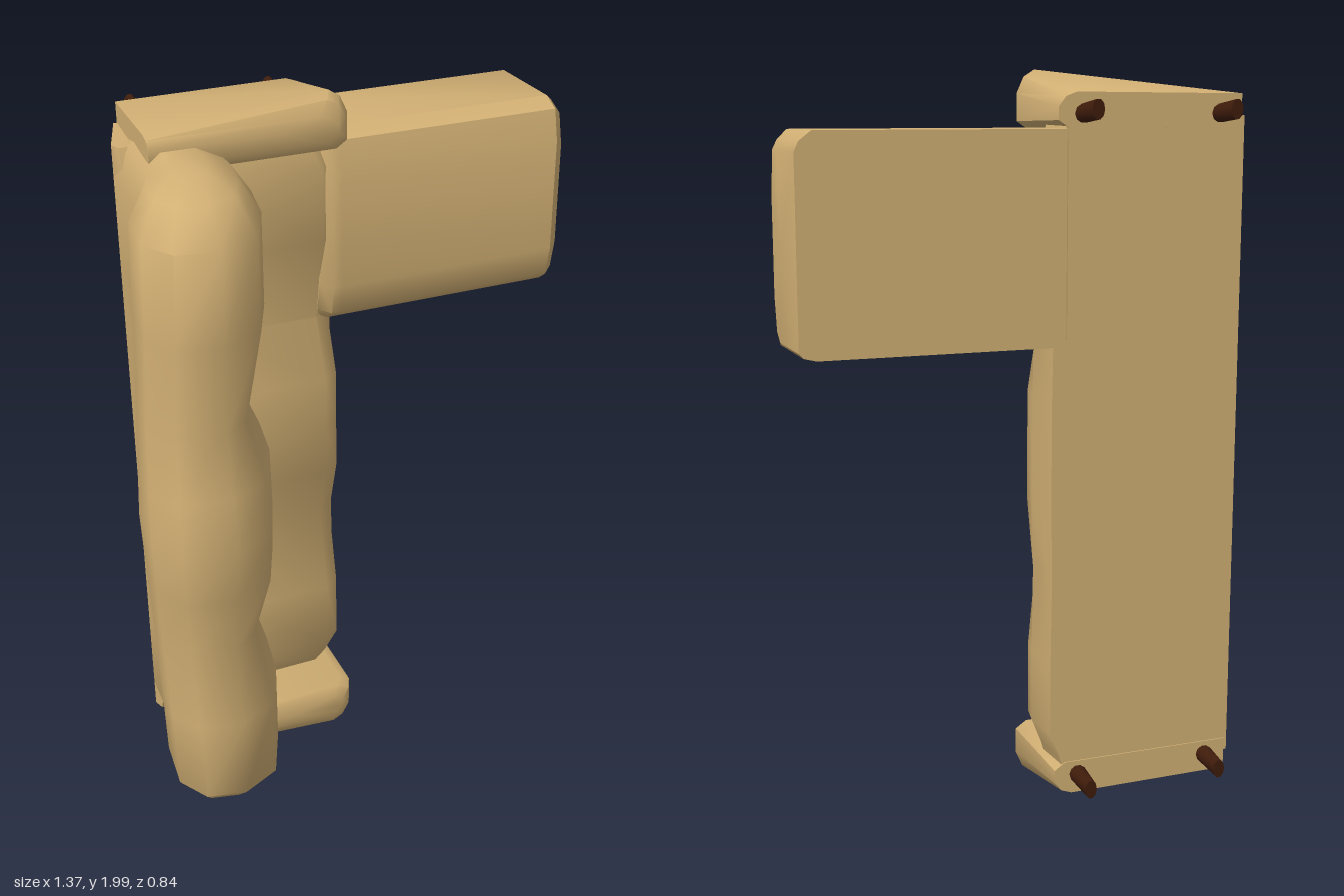
import * as THREE from 'three';
import { toCreasedNormals } from 'three/addons/utils/BufferGeometryUtils.js';

// Skin a list of equal-length rings of [x, y, z], close both ends, face outwards
function loft(rings, crease = 0.8) {
  const n = rings[0].length, pos = rings.flat(2), idx = [];
  for (let r = 0; r < rings.length - 1; r++)
    for (let i = 0; i < n; i++) {
      const a = r * n + i, b = r * n + (i + 1) % n;
      idx.push(a, b, b + n, a, b + n, a + n);
    }
  [0, rings.length - 1].forEach((r, end) => {
    const c = pos.length / 3;
    for (let k = 0; k < 3; k++) pos.push(rings[r].reduce((s, p) => s + p[k], 0) / n);
    for (let i = 0; i < n; i++) {
      const a = r * n + i, b = r * n + (i + 1) % n;
      idx.push(...(end ? [c, a, b] : [c, b, a]));
    }
  });
  const P = (i) => new THREE.Vector3().fromArray(pos, i * 3);
  let volume = 0;
  for (let i = 0; i < idx.length; i += 3)
    volume += P(idx[i]).dot(P(idx[i + 1]).cross(P(idx[i + 2])));
  if (volume < 0) idx.reverse();
  const g = new THREE.BufferGeometry();
  g.setAttribute('position', new THREE.Float32BufferAttribute(pos, 3));
  g.setIndex(idx);
  return toCreasedNormals(g, crease);
}

// Complete a half list of stations by mirroring along the length (y = 1)
const mirrorStations = (half) =>
  [...half, ...half.slice(0, -1).reverse().map(([y, ...rest]) => [2 - y, ...rest])];

export function createModel() {
  const model = new THREE.Group();
  const fabric = new THREE.MeshStandardMaterial({ color: 0xd2b074 });
  fabric.name = 'tan fabric';
  const wood = new THREE.MeshStandardMaterial({ color: 0x3f1c0b });
  wood.name = 'dark wood';
  const add = (name, geometry, material = fabric) => {
    const mesh = new THREE.Mesh(geometry, material);
    mesh.name = name;
    model.add(mesh);
  };

  // Seat: stations are [y, top z, front x]
  const seat = mirrorStations([
    [0.12, -0.14, -0.04], [0.17, -0.12, -0.025], [0.24, -0.1, 0.003], [0.44, -0.1, 0.003],
    [0.68, -0.145, 0], [0.85, -0.09, 0.003], [1, -0.09, 0.003],
  ]);
  add('seat', loft(seat.map(([y, t, f]) => [
    [-0.54, -0.325], [f - 0.005, -0.325], [f, -0.2], [f - 0.015, t - 0.035],
    [f - 0.06, t], [-0.35, t], [-0.58, t], [-0.59, -0.17],
  ].map(([x, z]) => [x, y, z]))));

  // Backrest: stations are [y, size, front dip, rear bulge, top lift]
  const profile = [
    [-0.535, -0.32], [-0.59, -0.17], [-0.6, 0.05], [-0.64, 0.13], [-0.655, 0.28], [-0.605, 0.365],
    [-0.5, 0.39], [-0.395, 0.34], [-0.335, 0.2], [-0.31, 0.06], [-0.315, -0.1], [-0.33, -0.32],
  ];
  const back = mirrorStations([
    [0.085, 0.3, 0, 0, 0], [0.12, 0.7, 0, 0, 0], [0.2, 1, 0, 0, 0], [0.44, 1, 0, 0.007, 0],
    [0.68, 1, 0.07, 0.015, -0.02], [0.85, 1, 0, 0.025, 0.008], [1, 1, 0, 0.033, 0.027],
  ]);
  add('backrest', loft(back.map(([y, s, dip, bulge, lift]) => profile.map(([x, z]) => {
    const front = THREE.MathUtils.clamp((x + 0.5) / 0.19, 0, 1);
    const rear = x < -0.5 && z > 0.1 ? 1 : 0;
    const up = THREE.MathUtils.clamp(z / 0.39, 0, 1);
    return [
      -0.49 + (x + 0.49) * s - front * dip - rear * bulge,
      y,
      0.12 + (z - 0.12) * (z > 0.12 ? s : Math.max(s, 0.85)) + up * lift,
    ];
  })), 1));

  // Chaise: stations are [x, bottom z, top drop, upper inset, lower inset]
  const chaise = [
    [-0.06, -0.32, 0.02, 0.01, 0.01], [-0.025, -0.33, 0, 0, 0], [0, -0.42, 0, 0, 0],
    [0.64, -0.42, 0, 0, 0], [0.672, -0.42, 0.03, 0.025, 0.008], [0.683, -0.42, 0.075, 0.05, 0.02],
  ];
  add('chaise', loft(chaise.map(([x, b, d, u, l]) => [
    [1.31 + l, b], [1.848 - u, b], [1.848 - u, -0.17 - d], [1.825 - u, -0.12 - d],
    [1.74 - u, -0.1 - d], [1.42 + l, -0.1 - d], [1.335 + l, -0.118 - d], [1.31 + l, -0.15 - d],
  ].map(([y, z]) => [x, y, z])), 0.7));

  // Flared arms: stations are [z, rear x, front x, inner y, outer rear y, outer front y]
  const arm = [
    [-0.328, -0.53, -0.015, 0.155, 0.068, 0.065], [-0.02, -0.55, -0.02, 0.16, 0.055, 0.005],
    [0.01, -0.552, -0.035, 0.148, 0.06, 0.02], [0.025, -0.552, -0.06, 0.125, 0.078, 0.055],
  ];
  for (const [side, upper] of [['lower', false], ['upper', true]]) {
    const flip = (y) => (upper ? 2.003 - y : y);
    add(side + 'Arm', loft(arm.map(([z, r, f, i, oR, oF]) => [
      [r, i], [r, oR], [f - 0.05, oF], [f - 0.02, oF + (i - oF) * 0.12],
      [f, oF + (i - oF) * 0.4], [f, i - 0.02], [f - 0.03, i],
    ].map(([x, y]) => [x, flip(y), z]))));

    // Tapered legs splaying slightly outwards
    for (const [place, x] of [['Rear', -0.468], ['Front', -0.083]]) {
      const ring = (z, y, rx, ry) => Array.from({ length: 10 }, (_, k) => {
        const a = k * Math.PI / 5;
        return [x + rx * Math.cos(a), flip(y + ry * Math.sin(a)), z];
      });
      add(side + place + 'Leg',
        loft([ring(-0.31, 0.12, 0.026, 0.024), ring(-0.418, 0.108, 0.017, 0.026)]), wood);
    }
  }
  return model;
}
